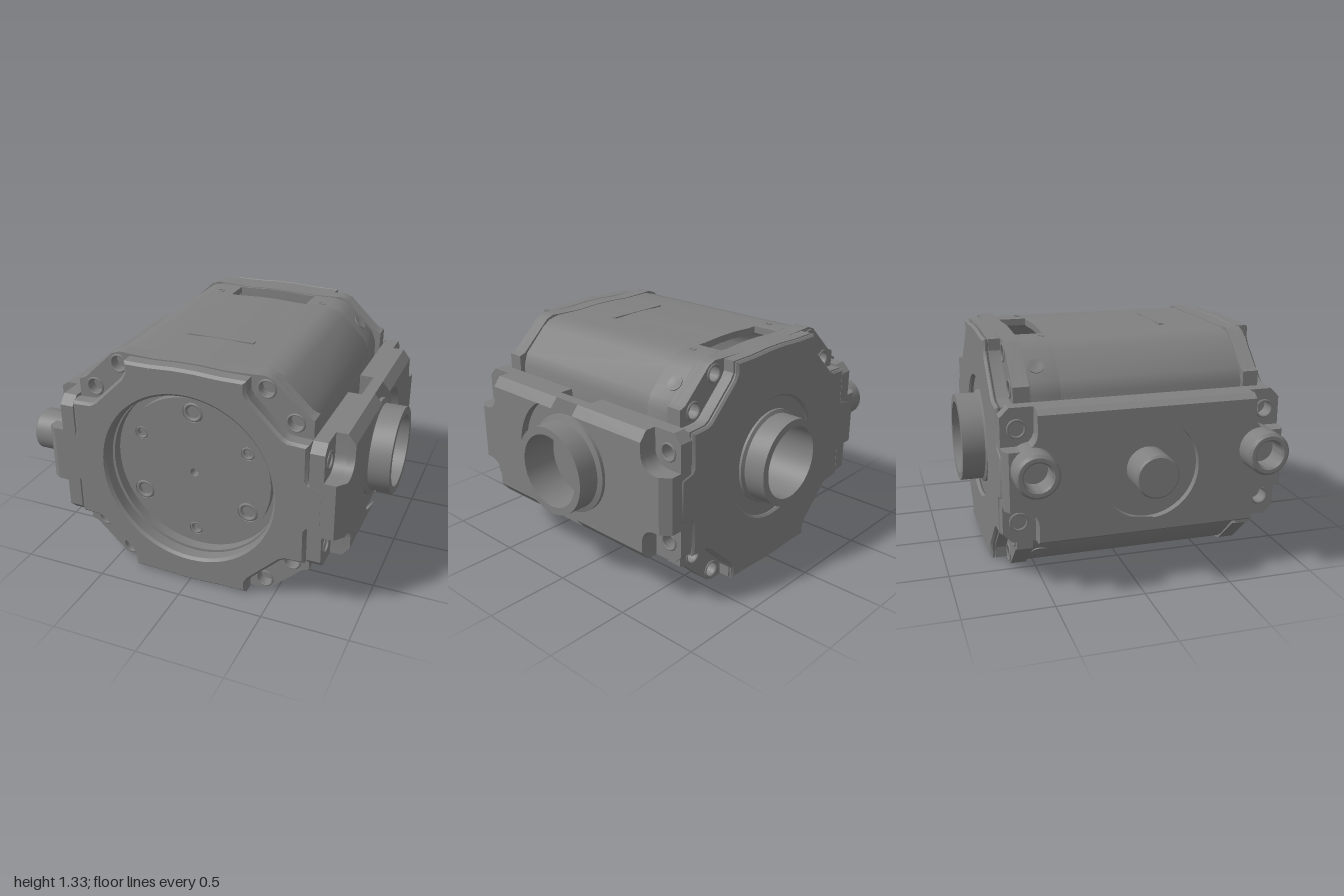
import * as THREE from 'three';
import { toCreasedNormals } from 'three/addons/utils/BufferGeometryUtils.js';

const CY = 0.667; // height of the main axis
const housingGrey = new THREE.MeshStandardMaterial({ color: 0x808080 });
housingGrey.name = 'housingGrey';

function add(parent, name, geometry, x = 0, y = 0, z = 0) {
  const mesh = new THREE.Mesh(geometry, housingGrey);
  mesh.name = name;
  mesh.position.set(x, y, z);
  parent.add(mesh);
  return mesh;
}

// Mirrors first-quadrant points into a full counterclockwise outline.
function quad(pts) {
  const rev = [...pts].reverse();
  return [...pts, ...rev.map(([x, y]) => [-x, y]), ...pts.map(([x, y]) => [-x, -y]), ...rev.map(([x, y]) => [x, -y])];
}

// Shape from points, with circular holes given as [x, y, radius].
function outline(pts, holes = []) {
  const shape = new THREE.Shape(pts.map(p => new THREE.Vector2(...p)));
  for (const [x, y, r] of holes) shape.holes.push(new THREE.Path().absarc(x, y, r, 0, Math.PI * 2, true));
  return shape;
}

// Slab between two depths, with an optional chamfer on the outer face.
function slab(shape, z0, z1, bevel = 0) {
  const g = new THREE.ExtrudeGeometry(shape, {
    depth: z1 - z0 - 2 * bevel, curveSegments: 40, bevelEnabled: bevel > 0,
    bevelThickness: bevel, bevelSize: bevel, bevelOffset: -bevel, bevelSegments: 1,
  });
  g.translate(0, 0, z0 + bevel);
  return toCreasedNormals(g, 0.5);
}

// Turned part around the z axis, profile as [radius, depth].
function turned(profile) {
  const g = new THREE.LatheGeometry(profile.map(p => new THREE.Vector2(...p)), 48);
  g.rotateX(Math.PI / 2);
  return toCreasedNormals(g, 0.5);
}

const mirror4 = ([x, y, r]) => [[x, y, r], [-x, y, r], [-x, -y, r], [x, -y, r]];

const flangePts = quad([[0.78, 0.115], [0.77, 0.128], [0.7, 0.145], [0.69, 0.16], [0.69, 0.46], [0.65, 0.475],
  [0.47, 0.645], [0.42, 0.664], [0.36, 0.66], [0.2, 0.655], [0.06, 0.663]]);
const facePts = quad([[0.78, 0.115], [0.77, 0.128], [0.7, 0.145], [0.69, 0.16], [0.69, 0.36], [0.58, 0.365],
  [0.55, 0.38], [0.37, 0.555], [0.35, 0.59], [0.35, 0.655], [0.2, 0.655], [0.06, 0.663]]);
const flangeScrews = [...mirror4([0.59, 0.43, 0.045]), ...mirror4([0.43, 0.593, 0.045])];

// Octagonal end plate with recessed screw corners.
function endFlange(name, floorHole, bore) {
  const g = new THREE.Group();
  g.name = name;
  const centre = r => (r ? [[0, 0, r]] : []);
  add(g, 'flangeFloor', slab(outline(flangePts, centre(floorHole)), 0, 0.03));
  add(g, 'flangeBase', slab(outline(flangePts, [...centre(bore), ...flangeScrews]), 0.03, 0.09));
  for (const [x, y] of flangeScrews) add(g, 'screwRim', new THREE.TorusGeometry(0.047, 0.007, 6, 24), x, y, 0.09);
  return g;
}

const L = 0.792, H = 0.375; // half length and half height of the side brackets
const pocketQ = [[L, H - 0.21], [L - 0.09, H - 0.21]];
for (let i = 1; i < 6; i++) {
  const a = i / 6 * Math.PI / 2;
  pocketQ.push([L - 0.09 - 0.09 * Math.sin(a), H - 0.12 - 0.09 * Math.cos(a)]);
}
pocketQ.push([L - 0.18, H - 0.12], [L - 0.18, H]);

// Pulls the outer face inward along its straight edges to make the bracket chamfer.
function chamferFace(geometry, zTop, c) {
  const p = geometry.attributes.position;
  for (let i = 0; i < p.count; i++) {
    if (p.getZ(i) < zTop - 1e-4) continue;
    p.setX(i, THREE.MathUtils.clamp(p.getX(i), c - L, L - c));
    p.setY(i, THREE.MathUtils.clamp(p.getY(i), c - H, H - c));
  }
  return toCreasedNormals(geometry, 0.5);
}

// Bracket shared by both sides: screw pads and pocketed middle layer, facing local +z.
function sideBracket(name, side, padStart, floor, recess, midBore) {
  const g = new THREE.Group();
  g.name = name;
  g.position.set(0, CY, 0.0625);
  g.rotation.y = side * Math.PI / 2;
  const screws = mirror4([0.705, 0.26, 0.045]);
  const inner = side > 0 ? 0.125 : 0; // the left bracket has a gap between its pads
  const pad = [[inner, -H], [L - 0.05, -H], [L, 0.05 - H], [L, H - 0.05], [L - 0.05, H], [inner, H]];
  for (const s of [1, -1]) {
    add(g, 'screwPad', slab(outline(pad.map(([x, y]) => [s * x, y]), screws.filter(h => h[0] * s > 0)), padStart, floor));
  }
  for (const [x, y] of screws) add(g, 'screwRim', new THREE.TorusGeometry(0.047, 0.007, 6, 24), x, y, floor);
  add(g, 'bracketPlate', slab(outline(quad(pocketQ), midBore ? [[0, 0, midBore]] : []), floor, recess));
  return g;
}

export function createModel() {
  const model = new THREE.Group();
  model.name = 'gearHousing';

  // Hollow body shell with a window through the top and the bottom
  const body = new THREE.Group();
  body.name = 'body';
  body.position.y = CY;
  model.add(body);
  const bodyQ = [[0.66, 0.1], [0.66, 0.4], [0.635, 0.47], [0.5, 0.605], [0.45, 0.64], [0.38, 0.655], [0.2, 0.652], [0.06, 0.66]];
  const shrink = ([x, y]) => [x * 0.94, y * 0.94];
  const shell = outline(quad(bodyQ));
  shell.holes.push(new THREE.Path(quad(bodyQ.map(shrink)).reverse().map(p => new THREE.Vector2(...p))));
  add(body, 'rearShell', slab(shell, -0.55, -0.535));
  add(body, 'frontShell', slab(shell, -0.375, 0.67));
  const outerQ = [...bodyQ.filter(p => p[0] > 0.25), [0.25, 0.653]];
  const innerQ = [...bodyQ.map(shrink).filter(p => p[0] > 0.25), [0.25, 0.613]];
  const flip = a => [...a].reverse().map(([x, y]) => [x, -y]);
  const cheek = [...flip(outerQ), ...outerQ, ...[...innerQ].reverse(), ...innerQ.map(([x, y]) => [x, -y])];
  for (const s of [1, -1]) {
    add(body, 'windowCheek', slab(outline(cheek.map(([x, y]) => [s * x, y])), -0.535, -0.375));
    add(body, 'indexSlit', new THREE.BoxGeometry(0.4, 0.008, 0.03), 0, s * 0.659, 0.36);
    for (const t of [1, -1]) {
      const rim = add(body, 'pinHole', new THREE.TorusGeometry(0.018, 0.004, 6, 16), s * 0.34, t * 0.655, -0.41);
      rim.rotation.x = Math.PI / 2;
      const screw = add(body, 'bodyScrew', turned([[0.045, -0.01], [0.045, 0.006], [0.038, 0.006], [0.022, 0.002], [0, 0.002]]),
        s * 0.5675, t * 0.5375, -0.49);
      screw.lookAt(s * 1.5675, CY + t * 1.5375, -0.49);
    }
  }

  // Front plate with a recessed drive disc
  const front = endFlange('frontFlange', 0, 0.5);
  front.position.set(0, CY, 0.67);
  model.add(front);
  add(front, 'frontFace', slab(outline(facePts, [[0, 0, 0.505]]), 0.09, 0.185, 0.015));
  const discHoles = [[0, 0, 0.025]];
  for (let i = 0; i < 6; i++) {
    const a = Math.PI / 2 + i * Math.PI / 3;
    discHoles.push([0.37 * Math.cos(a), 0.37 * Math.sin(a), i % 2 ? 0.04 : 0.06]);
  }
  const discPts = [];
  for (let i = 0; i < 80; i++) discPts.push([0.455 * Math.cos(i * Math.PI / 40), 0.455 * Math.sin(i * Math.PI / 40)]);
  add(front, 'driveDisc', slab(outline(discPts, discHoles), 0.03, 0.08));
  for (const [x, y, r] of discHoles.slice(1)) add(front, 'discHoleRim', new THREE.TorusGeometry(r * 0.8, r * 0.2, 6, 24), x, y, 0.07);

  // Rear plate with a hollow shaft collar
  const rear = endFlange('rearFlange', 0.24, 0.24);
  rear.position.set(0, CY, -0.55);
  rear.rotation.y = Math.PI;
  model.add(rear);
  add(rear, 'rearFaceBase', slab(outline(facePts, [[0, 0, 0.24]]), 0.09, 0.155));
  add(rear, 'rearFace', slab(outline(facePts, [[0, 0, 0.36]]), 0.155, 0.185, 0.012));
  add(rear, 'rearTube', turned([[0.25, -0.09], [0.25, -0.02], [0.22, -0.02], [0.22, 0.1], [0.28, 0.15], [0.28, 0.17], [0.26, 0.18],
    [0.26, 0.31], [0.215, 0.31], [0.215, -0.06], [0, -0.06]]));
  add(rear, 'rotorBack', turned([[0, -0.09], [0.25, -0.09]]));
  add(rear, 'rotorKey', new THREE.BoxGeometry(0.26, 0.1, 0.04), -0.11, 0, -0.11);

  // Left bracket with a large hollow tube in a round recess
  const left = sideBracket('leftBracket', 1, 0.7, 0.78, 0.845, 0.25);
  model.add(left);
  const R = 0.385, a0 = Math.asin(H / R);
  const half = [...flip(pocketQ), ...pocketQ];
  for (let i = 0; i <= 32; i++) {
    const a = a0 * (1 - i / 16);
    half.push([R * Math.cos(a), R * Math.sin(a)]);
  }
  for (const s of [1, -1]) {
    const cap = slab(outline(half.map(([x, y]) => [s * x, y])), 0.845, 0.89);
    add(left, 'bracketCap', chamferFace(cap, 0.89, 0.055));
  }
  add(left, 'sideTube', turned([[0.29, 0.84], [0.29, 0.865], [0.26, 0.875], [0.26, 1], [0.215, 1], [0.215, 0.79], [0, 0.79]]));
  add(left, 'tubeBack', turned([[0, 0.785], [0.25, 0.785]]));

  // Right bracket with a solid stub between two hollow bosses
  const right = sideBracket('rightBracket', -1, 0.69, 0.77, 0.83, 0);
  model.add(right);
  const cover = slab(outline(quad(pocketQ), [[0, 0, 0.28]]), 0.83, 0.87);
  add(right, 'bracketCap', chamferFace(cover, 0.87, 0.025));
  add(right, 'stub', turned([[0.12, 0.82], [0.12, 0.99], [0.11, 1], [0, 1]]));
  for (const s of [1, -1]) {
    add(right, 'hollowBoss', turned([[0, 0.77], [0.12, 0.77], [0.12, 0.985], [0.105, 1], [0.085, 1], [0.075, 0.99], [0.075, 0.88], [0, 0.88]]),
      s * 0.64, 0.065, 0);
  }
  return model;
}
